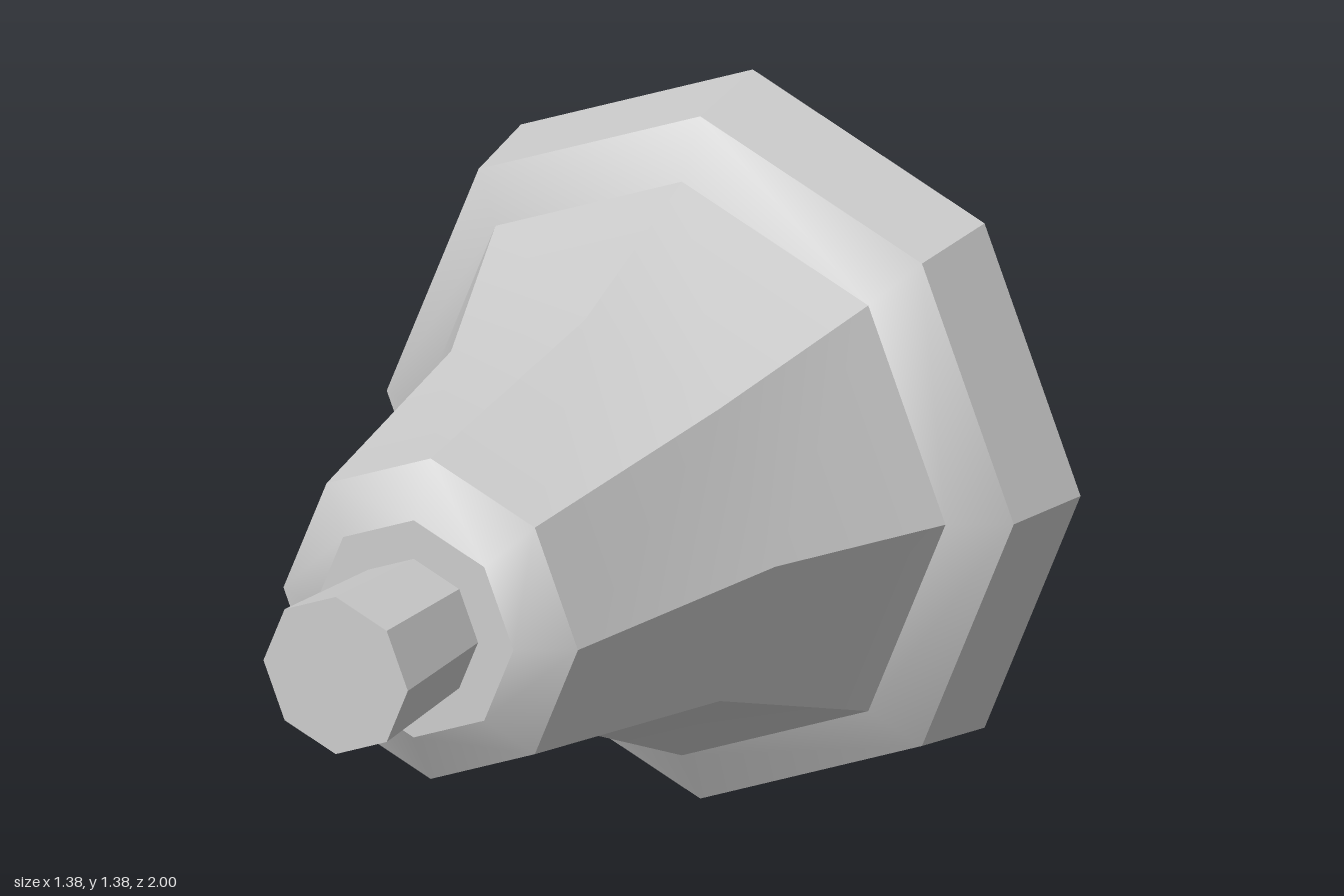
import * as THREE from 'three';
import { toCreasedNormals } from 'three/addons/utils/BufferGeometryUtils.js';

const CENTER_Y = 0.69;

// Faceted solid turned around the z axis; profile is [radius, z] with z rising on outer faces.
function turned(name, profile, sides, phiStart = 0, scale = 1) {
  const points = profile.map(([r, z]) => new THREE.Vector2(r * scale, z));
  const lathe = new THREE.LatheGeometry(points, sides, phiStart).rotateX(Math.PI / 2);
  const material = new THREE.MeshStandardMaterial({ color: 0xcccccc });
  const mesh = new THREE.Mesh(toCreasedNormals(lathe, THREE.MathUtils.degToRad(30)), material);
  mesh.name = name;
  return mesh;
}

const octagonal = (name, profile) => turned(name, profile, 8);

// Square section: radii are half widths, sides parallel to x and y.
const square = (name, profile) => turned(name, profile, 4, Math.PI / 4, Math.SQRT2);

export function createModel() {
  const model = new THREE.Group();
  model.name = 'bell';

  // Hollow shell: inner wall from crown to mouth, then the outer wall back up
  const shell = octagonal('bellShell', [
    [0, 0.62], [0.26, 0.62], [0.35, 0.12], [0.5, -0.2], [0.6, -0.27], [0.63, -0.47],
    [0.69, -0.47], [0.66, -0.285], [0.555, -0.22], [0.4, 0.12], [0.31, 0.665], [0.21, 0.725], [0, 0.725],
  ]);

  // Stub on the crown
  const handle = octagonal('handle', [[0, 0.7], [0.134, 0.7], [0.152, 1], [0, 1]]);

  // Clapper hanging along the axis
  const clapper = new THREE.Group();
  clapper.name = 'clapper';
  clapper.add(
    square('clapperRod', [[0, -0.5], [0.065, -0.5], [0.065, 0.63], [0, 0.63]]),
    square('clapperBall', [[0, -0.725], [0.085, -0.725], [0.126, -0.6], [0.065, -0.45], [0, -0.45]]),
    square('clapperTip', [[0, -1], [0.02, -1], [0.038, -0.71], [0, -0.71]]),
  );

  model.add(shell, handle, clapper);
  for (const part of model.children) part.position.y = CENTER_Y;
  return model;
}
